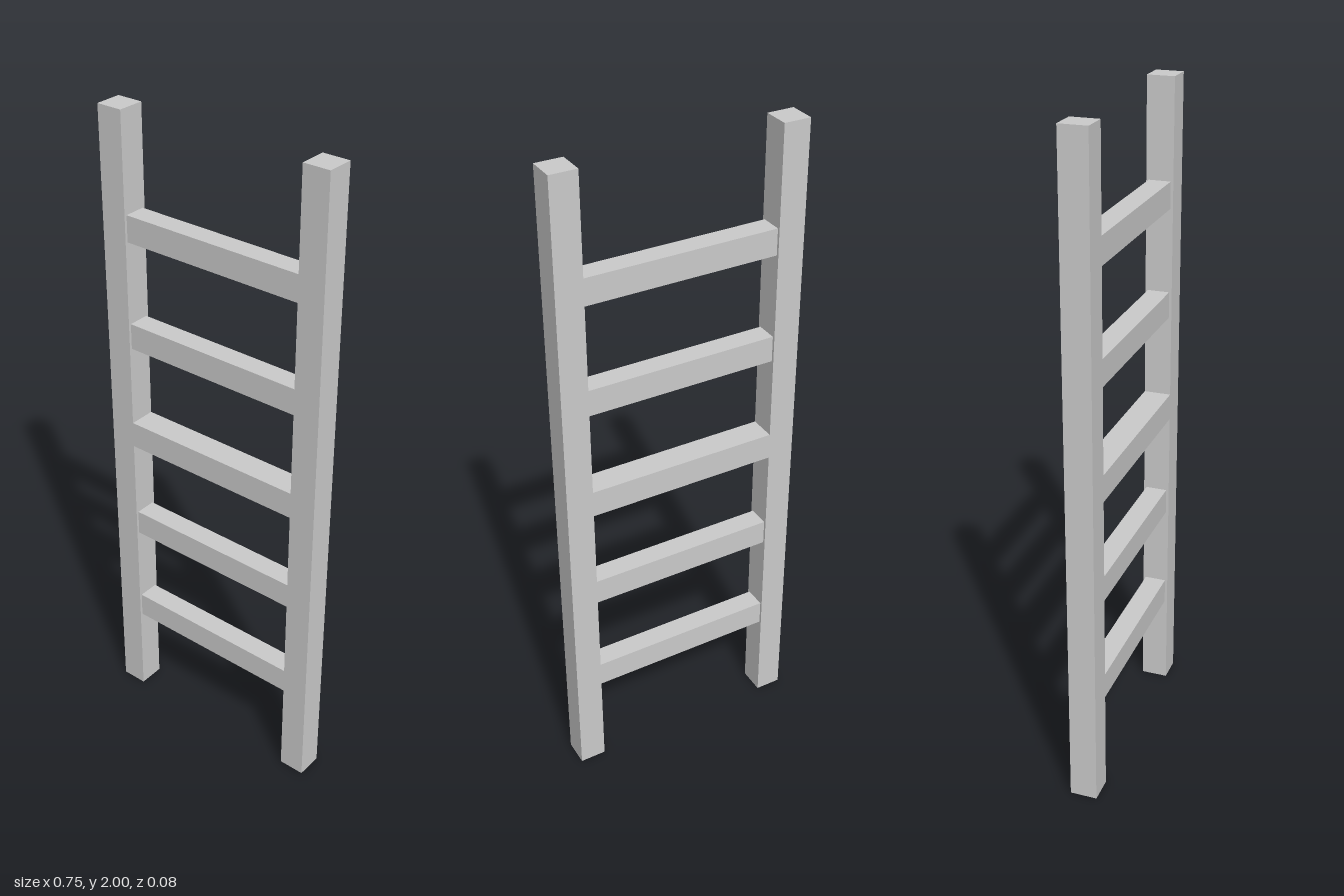
import * as THREE from 'three';

export function createModel() {
  const group = new THREE.Group();
  group.name = 'ladder';
  const material = new THREE.MeshStandardMaterial({ color: 0xcccccc, flatShading: true });

  const outer = 0.373, inner = 0.292, depth = 0.082, half = 0.041;

  // H-shaped frame: two rails joined by a flush middle rung
  const outline = new THREE.Shape([
    [-outer, 0], [-inner, 0], [-inner, 1 - half], [inner, 1 - half], [inner, 0], [outer, 0],
    [outer, 2], [inner, 2], [inner, 1 + half], [-inner, 1 + half], [-inner, 2], [-outer, 2],
  ].map(([x, y]) => new THREE.Vector2(x, y)));
  const frameGeometry = new THREE.ExtrudeGeometry(outline, { depth, bevelEnabled: false });
  frameGeometry.translate(0, 0, -depth / 2);
  const frame = new THREE.Mesh(frameGeometry, material);
  frame.name = 'railsAndMiddleRung';
  group.add(frame);

  // Four thinner rungs, set back slightly from the rail faces
  const rungGeometry = new THREE.BoxGeometry(inner * 2, 0.08, 0.066);
  [1, 2, 4, 5].forEach((step) => {
    const rung = new THREE.Mesh(rungGeometry, material);
    rung.name = `rung${step}`;
    rung.position.y = step / 3 + 0.003 * Math.sign(3 - step);
    group.add(rung);
  });

  return group;
}
